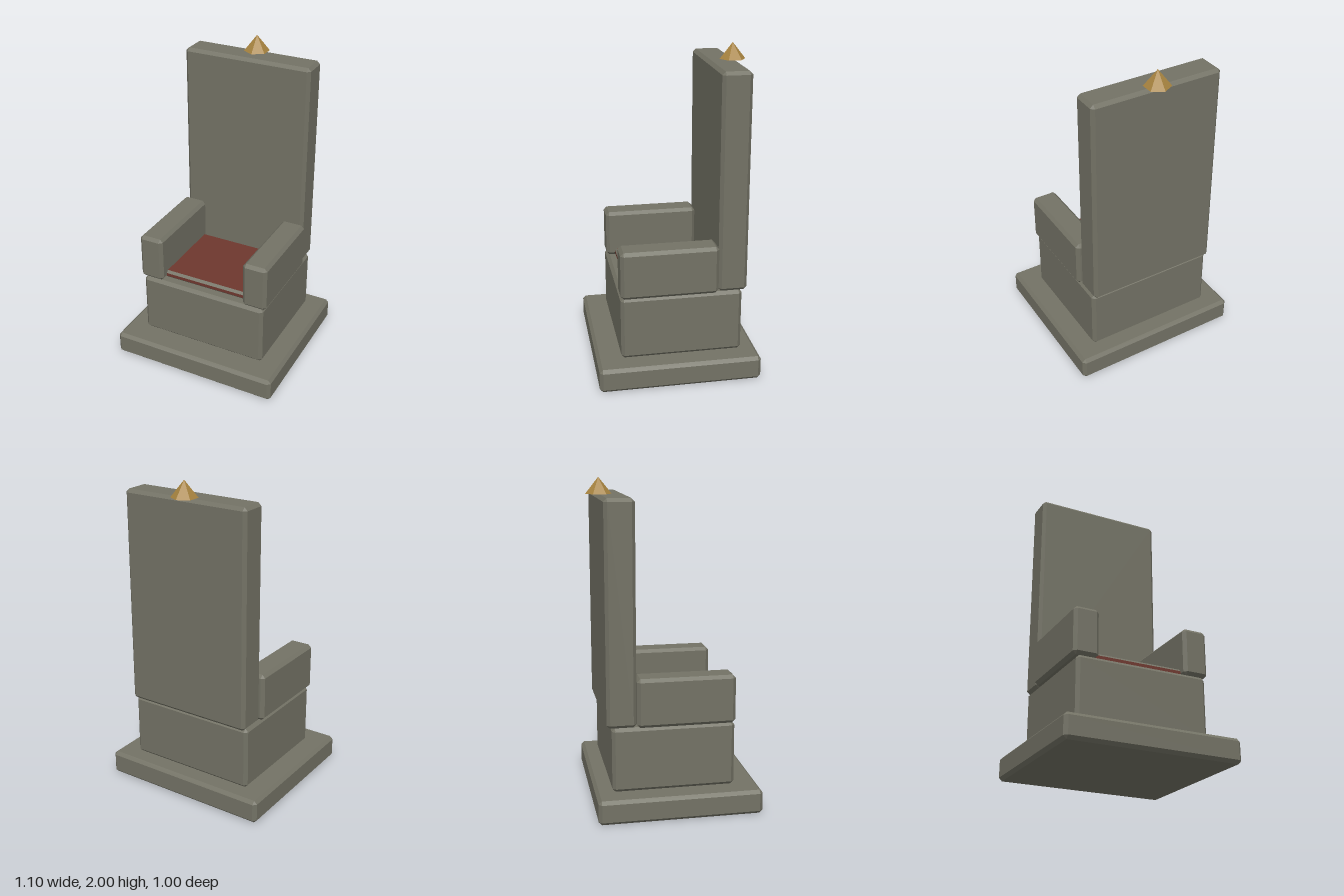
import * as THREE from 'three';
import { ConvexGeometry } from 'three/addons/geometries/ConvexGeometry.js';

const flat = (name, color) => {
  const m = new THREE.MeshStandardMaterial({ color });
  m.name = name;
  return m;
};

// Box between two corners with every edge cut at 45 degrees
function chamferBox(min, max, c) {
  const lo = new THREE.Vector3(...min), hi = new THREE.Vector3(...max);
  const centre = lo.clone().add(hi).multiplyScalar(0.5);
  const half = hi.clone().sub(lo).multiplyScalar(0.5);
  const points = [];
  for (const sx of [-1, 1]) for (const sy of [-1, 1]) for (const sz of [-1, 1]) {
    for (const full of [0, 1, 2]) {
      const inset = [c, c, c];
      inset[full] = 0;
      points.push(new THREE.Vector3(
        sx * (half.x - inset[0]), sy * (half.y - inset[1]), sz * (half.z - inset[2])));
    }
  }
  const geometry = new ConvexGeometry(points);
  geometry.translate(centre.x, centre.y, centre.z);
  return geometry;
}

// Group 0 for the flat faces, group 1 for the chamfers
function groupChamfers(geometry) {
  const n = geometry.attributes.normal;
  for (let i = 0; i < n.count; i += 3) {
    const major = Math.max(Math.abs(n.getX(i)), Math.abs(n.getY(i)), Math.abs(n.getZ(i)));
    geometry.addGroup(i, 3, major > 0.99 ? 0 : 1);
  }
  return geometry;
}

export function createModel() {
  const stone = flat('stone', 0x737265);
  const red = flat('red cloth', 0x6e372e);
  const gold = flat('gold', 0xa88440);

  const model = new THREE.Group();
  model.name = 'throne';
  const add = (name, geometry, material) => {
    const mesh = new THREE.Mesh(geometry, material);
    mesh.name = name;
    model.add(mesh);
    return mesh;
  };

  // Stone blocks
  add('plinth', chamferBox([-0.55, 0, -0.5], [0.55, 0.15, 0.5], 0.02), stone);
  add('seatBlock', chamferBox([-0.42, 0.15, -0.4], [0.42, 0.55, 0.35], 0.02), stone);
  add('backrest', chamferBox([-0.42, 0.55, -0.43], [0.42, 1.9, -0.25], 0.02), stone);
  add('leftArm', chamferBox([0.28, 0.55, -0.25], [0.44, 0.85, 0.35], 0.02), stone);
  add('rightArm', chamferBox([-0.44, 0.55, -0.25], [-0.28, 0.85, 0.35], 0.02), stone);

  // Thin red cushion with stone-coloured edging
  add('cushion',
    groupChamfers(chamferBox([-0.3, 0.55, -0.23], [0.3, 0.6, 0.295], 0.015)), [red, stone]);

  // Six-sided point on top of the backrest
  const finial = new THREE.ConeGeometry(0.08, 0.1, 6).toNonIndexed();
  finial.computeVertexNormals();
  finial.clearGroups();
  add('finial', finial, gold).position.set(0, 1.95, -0.41);

  return model;
}
